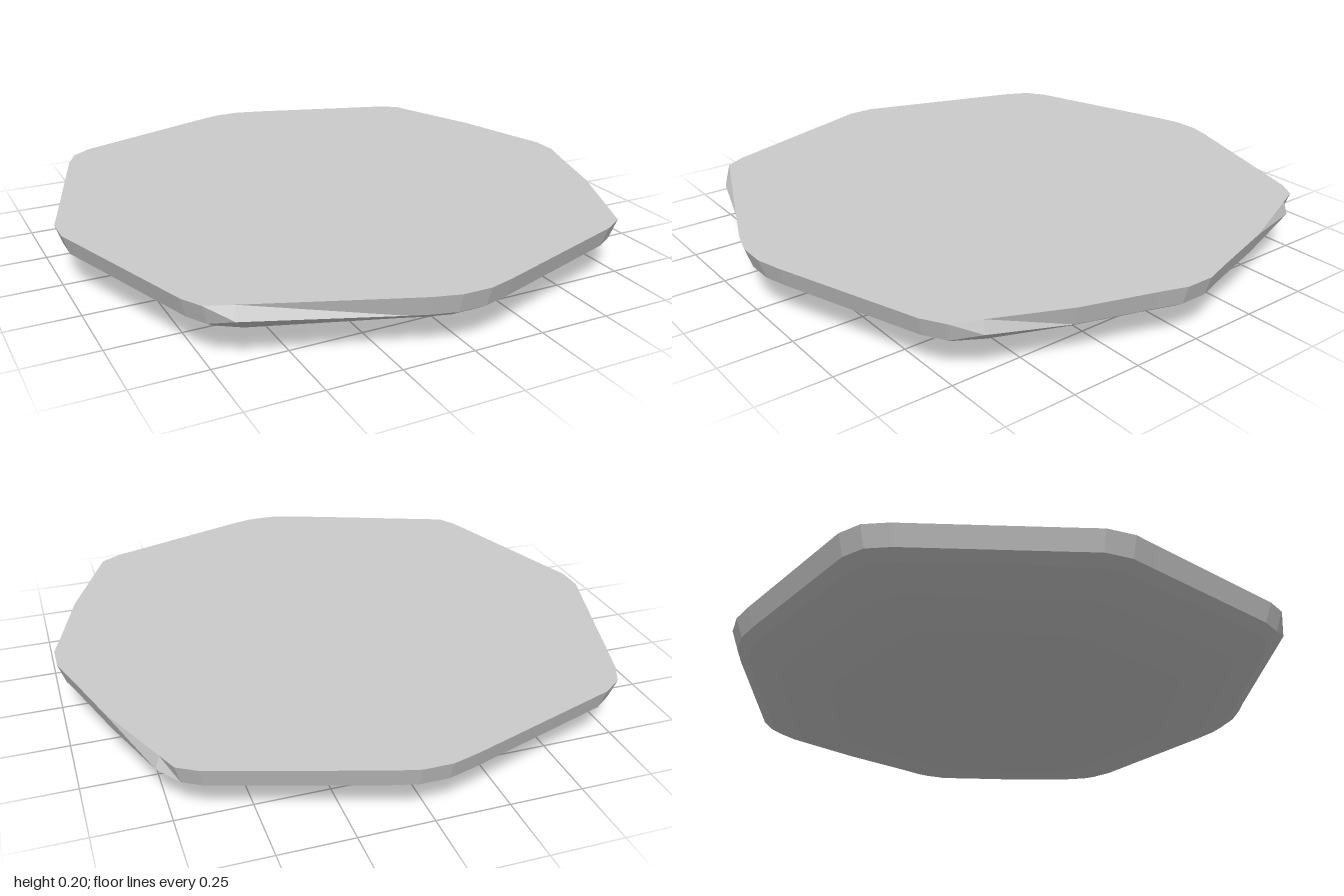
import * as THREE from 'three';

// Rim outline [x, z]: an octagon with clipped corners, running from +x towards +z.
// A third value marks a corner that bulges out below a straight rim.
const outline = [
  [1, 0.05], [0.97, 0.14], [0.89, 0.40], [0.79, 0.66, 1], [0.735, 0.755], [0.66, 0.80],
  [0.14, 0.975], [0.05, 1], [-0.05, 1], [-0.14, 0.975], [-0.20, 0.952], [-0.68, 0.785, 1],
  [-0.76, 0.73], [-0.80, 0.66], [-0.97, 0.14], [-1, 0.05], [-1, -0.05], [-0.97, -0.14],
  [-0.80, -0.66], [-0.76, -0.74], [-0.69, -0.79], [-0.14, -0.975], [-0.05, -1], [0.05, -1],
  [0.14, -0.975], [0.67, -0.80], [0.735, -0.76], [0.78, -0.69, 1], [0.89, -0.40],
  [0.97, -0.14], [1, -0.05],
];

// Cross-sections from the top centre, over the rim, to the bottom centre: [scale, y]
const sections = [
  [0, 0.2], [1, 0.2], [0.976, 0.13], [0.935, 0.103], [0.82, 0.055],
  [0.64, 0.024], [0.35, 0.011], [0.12, 0.003], [0, 0],
];
const RIM = 1, SHOULDER = 2;
const count = outline.length;

// One corner of the shell
function corner(level, index) {
  const i = index % count;
  let [x, z, bulge] = outline[i];
  let [scale, y] = sections[level];
  if (bulge && level === RIM) {
    // Pull the rim back onto the straight line between its neighbours
    const [ax, az] = outline[i - 1], [bx, bz] = outline[i + 1];
    const dx = bx - ax, dz = bz - az;
    const t = ((x - ax) * dx + (z - az) * dz) / (dx * dx + dz * dz);
    x = ax + dx * t;
    z = az + dz * t;
  }
  if (bulge && level === SHOULDER) {
    scale = 1;
    y = 0.155;
  }
  return [x * scale, y, z * scale];
}

// Flat top, rounded side and shallow underside as one closed shell
function shellGeometry() {
  const positions = [];
  for (let k = 0; k < sections.length - 1; k++) {
    for (let i = 0; i < count; i++) {
      const a = corner(k, i), b = corner(k, i + 1);
      const c = corner(k + 1, i), d = corner(k + 1, i + 1);
      if (sections[k][0] > 0) positions.push(...a, ...b, ...c);
      if (sections[k + 1][0] > 0) positions.push(...b, ...d, ...c);
    }
  }
  const geometry = new THREE.BufferGeometry();
  geometry.setAttribute('position', new THREE.Float32BufferAttribute(positions, 3));
  geometry.computeVertexNormals();
  return geometry;
}

export function createModel() {
  const group = new THREE.Group();
  group.name = 'stoneSlab';
  const material = new THREE.MeshStandardMaterial({ color: 0xcccccc, flatShading: true });
  const slab = new THREE.Mesh(shellGeometry(), material);
  slab.name = 'slab';
  group.add(slab);
  return group;
}
